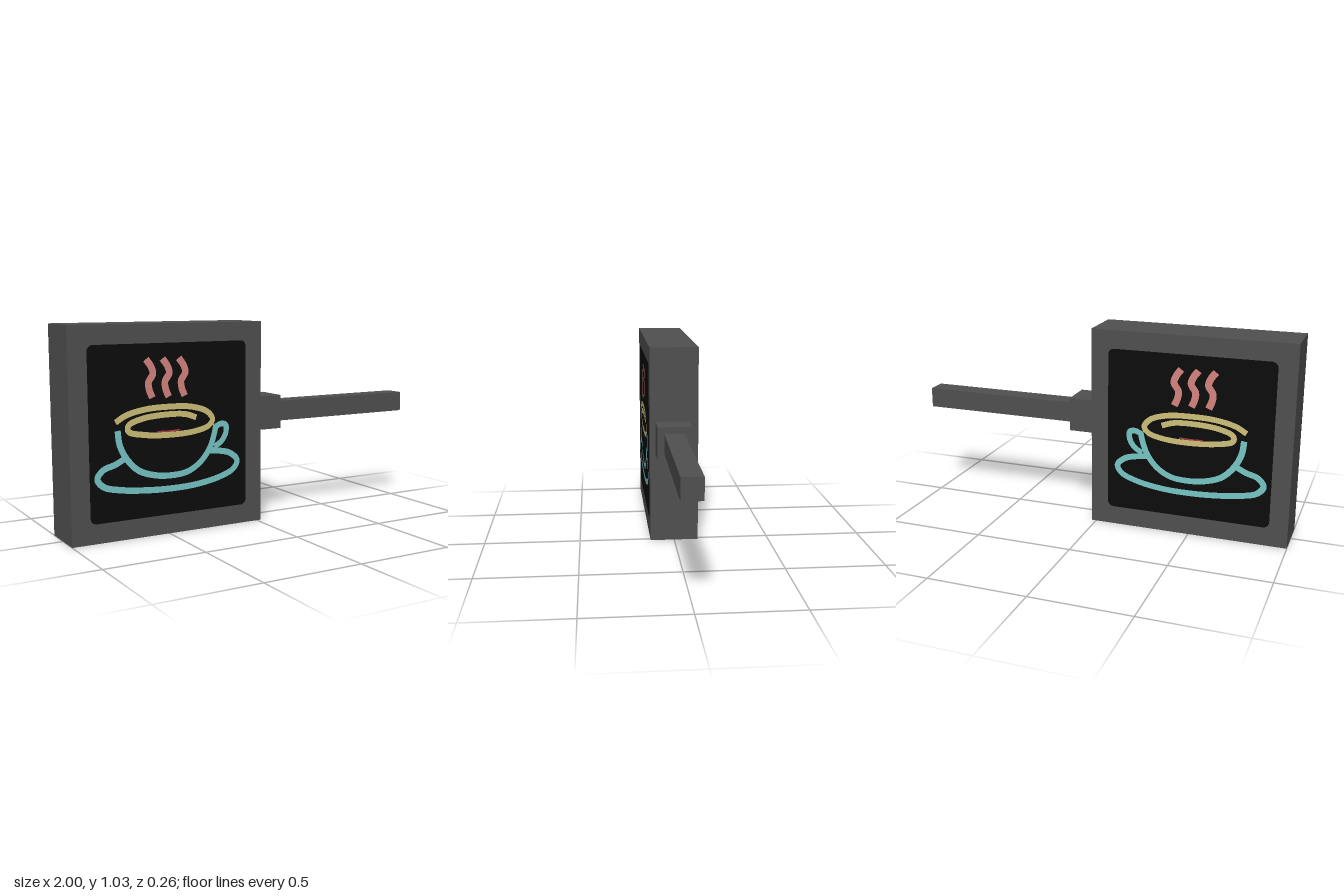
import * as THREE from 'three';

const mat = (name, color, side = THREE.FrontSide) => {
  const m = new THREE.MeshStandardMaterial({ color, side });
  m.name = name;
  return m;
};

// Drawing units of the sign face: [x, y] in hundredths of a unit
const toVectors = pts => pts.map(([x, y]) => new THREE.Vector3(x / 100, y / 100, 0));

// Flat ribbon of constant width along a smooth curve, facing +z or -z
function ribbon(pts, width, z, facing) {
  const curve = new THREE.CatmullRomCurve3(toVectors(pts), false, 'centripetal');
  const n = pts.length * 8, pos = [], nor = [], idx = [];
  for (let i = 0; i <= n; i++) {
    const p = curve.getPoint(i / n), t = curve.getTangent(i / n);
    for (const s of [1, -1]) {
      pos.push(p.x - t.y * s * width / 2, p.y + t.x * s * width / 2, z * facing);
      nor.push(0, 0, facing);
    }
    if (i === n) continue;
    const a = i * 2;
    if (facing > 0) idx.push(a, a + 1, a + 2, a + 1, a + 3, a + 2);
    else idx.push(a, a + 2, a + 1, a + 1, a + 2, a + 3);
  }
  const g = new THREE.BufferGeometry();
  g.setAttribute('position', new THREE.Float32BufferAttribute(pos, 3));
  g.setAttribute('normal', new THREE.Float32BufferAttribute(nor, 3));
  g.setIndex(idx);
  return g;
}

// Rounded black panel outline
function panelShape(x0, y0, x1, y1, r) {
  const s = new THREE.Shape();
  s.absarc(x1 - r, y0 + r, r, -Math.PI / 2, 0);
  s.absarc(x1 - r, y1 - r, r, 0, Math.PI / 2);
  s.absarc(x0 + r, y1 - r, r, Math.PI / 2, Math.PI);
  s.absarc(x0 + r, y0 + r, r, Math.PI, Math.PI * 1.5);
  return s;
}

export function createModel() {
  const root = new THREE.Group();
  root.name = 'cafeSign';
  const grey = mat('darkGreyMetal', 0x505050);
  const black = mat('blackPanel', 0x0c0c0c);
  const cyan = mat('cyanTube', 0x78c8c8);
  const yellow = mat('yellowTube', 0xd2c27a);
  const pink = mat('pinkTube', 0xd78580);
  const red = mat('redTube', 0xa83c40);

  const add = (name, geometry, material, parent = root) => {
    const mesh = new THREE.Mesh(geometry, material);
    mesh.name = name;
    parent.add(mesh);
    return mesh;
  };
  const box = (name, x0, x1, y0, y1, z0, z1) =>
    add(name, new THREE.BoxGeometry(x1 - x0, y1 - y0, z1 - z0), grey)
      .position.set((x0 + x1) / 2, (y0 + y1) / 2, (z0 + z1) / 2);

  // Sign housing, wall bracket and arm
  box('housing', -1, 0.022, 0, 1.027, -0.126, 0.126);
  box('bracket', 0.022, 0.162, 0.468, 0.642, -0.078, 0.097);
  box('arm', 0.162, 1, 0.502, 0.607, -0.039, 0.062);

  // Strokes of the glowing drawing: name, material, width, height, points
  const strokes = [
    ['saucer', cyan, 0.031, 0.1285, [[-73, 39.5], [-78, 37], [-84, 35], [-87, 31], [-84, 27], [-75, 24.5],
      [-62, 23], [-50, 22.5], [-36, 23], [-22, 25.5], [-14, 29], [-12, 33], [-16, 37], [-22, 38.7], [-28, 39.5]]],
    ['cup', cyan, 0.031, 0.1285, [[-76.5, 53], [-75.5, 46], [-72, 39], [-66, 33], [-58, 30], [-49, 29],
      [-40, 30], [-33, 34], [-28, 40], [-25.5, 46], [-24, 52]]],
    ['cupHandle', cyan, 0.03, 0.1285, [[-24.5, 51], [-21, 52.3], [-18.5, 51.5], [-18.5, 47.5], [-21, 43.5], [-25, 41]]],
    ['cupRim', yellow, 0.029, 0.129, [[-77.5, 57], [-72, 60], [-62, 62.2], [-50, 62.7], [-38, 62],
      [-29, 59], [-26, 55], [-28, 52], [-36, 49.7], [-50, 49], [-63, 50], [-71, 52.2], [-71, 55],
      [-64, 57.8], [-51, 59], [-41, 58.5], [-35, 56.5]]],
    ['coffeeLine', red, 0.008, 0.1288, [[-56, 51], [-50, 50.8], [-44, 51]]],
  ];
  // Three wavy wisps of steam
  for (let i = 0; i < 3; i++) {
    const x = -61 + i * 8.6;
    const wave = [[-0.5, 86], [2, 82.5], [3, 79], [0.7, 75], [1, 71.5], [2.6, 67.5]];
    strokes.push(['steam' + (i + 1), pink, 0.035, 0.1285, wave.map(([dx, y]) => [x + dx, y])]);
  }

  // The same face on the front and the back
  for (const facing of [1, -1]) {
    const face = new THREE.Group();
    face.name = facing > 0 ? 'frontFace' : 'backFace';
    root.add(face);
    const plate = new THREE.ExtrudeGeometry(panelShape(-0.907, 0.096, -0.068, 0.934, 0.03),
      { depth: 0.003, bevelEnabled: false, curveSegments: 6 });
    plate.translate(0, 0, facing * 0.1258 - 0.0015);
    add('panel', plate, black, face);
    for (const [name, material, width, z, pts] of strokes)
      add(name, ribbon(pts, width, z, facing), material, face);
  }
  return root;
}
